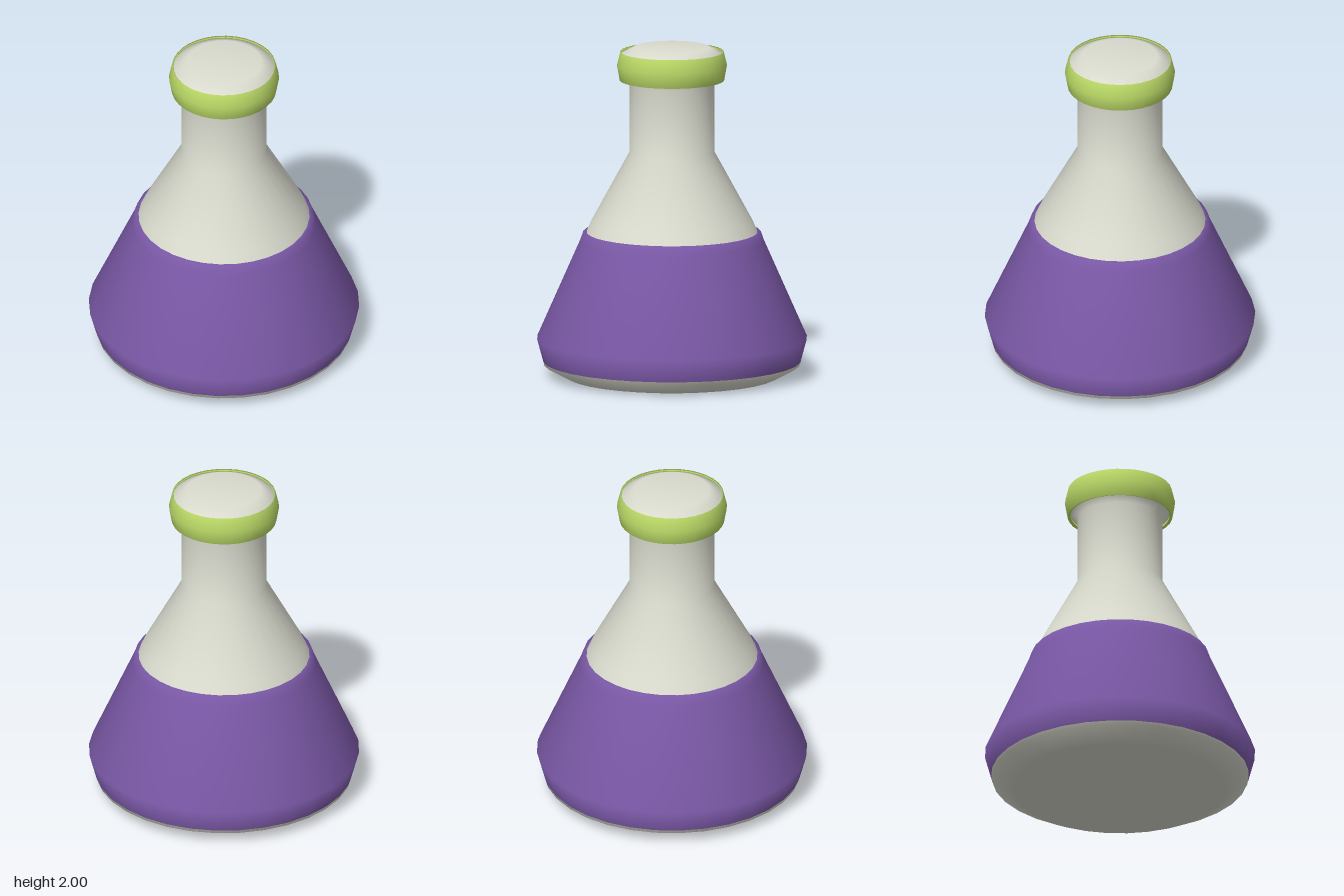
import * as THREE from 'three';

const SEGMENTS = 32;

function lathe(name, profile, material) {
  const points = profile.map(([r, y]) => new THREE.Vector2(r, y));
  const mesh = new THREE.Mesh(new THREE.LatheGeometry(points, SEGMENTS), material);
  mesh.name = name;
  return mesh;
}

function flat(name, color, side = THREE.FrontSide) {
  const material = new THREE.MeshStandardMaterial({ color, side });
  material.name = name;
  return material;
}

export function createModel() {
  const glass = flat('pale glass', 0xdcddd0);
  const purple = flat('purple liquid', 0x7a58a6, THREE.DoubleSide);
  const green = flat('lime rim', 0xbddc68, THREE.DoubleSide);

  const flask = new THREE.Group();
  flask.name = 'flask';

  // Glass body: bevelled foot, cone, neck and closed flared lip
  flask.add(lathe('glassBody', [
    [0, 0], [0.64, 0], [0.77, 0.07], [0.8, 0.23], [0.485, 0.94], [0.256, 1.36],
    [0.256, 1.78], [0.3, 1.82], [0.315, 1.89], [0.305, 1.96], [0.225, 2], [0, 2],
  ], glass));

  // Liquid band wrapped around the cone, with a narrow top ledge
  flask.add(lathe('liquid', [
    [0.775, 0.09], [0.813, 0.23], [0.553, 0.82], [0.535, 0.872], [0.51, 0.875],
  ], purple));

  // Coloured band around the lip
  flask.add(lathe('rimBand', [
    [0.298, 1.805], [0.315, 1.8], [0.331, 1.89], [0.311, 1.974], [0.303, 1.965],
  ], green));

  return flask;
}
